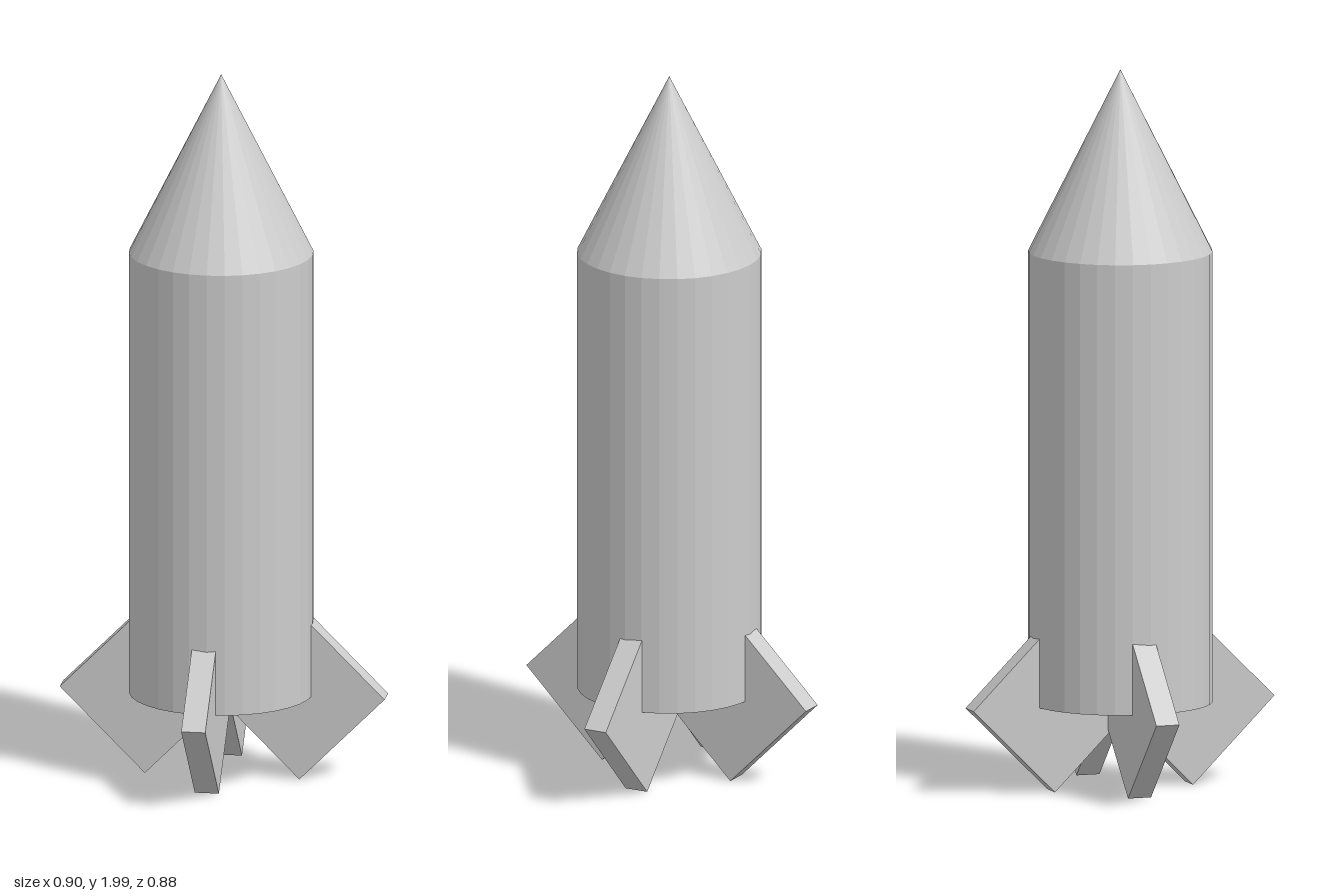
import * as THREE from 'three';

export function createModel() {
  const rocket = new THREE.Group();
  rocket.name = 'rocket';
  const grey = new THREE.MeshStandardMaterial({ color: 0xcccccc });
  grey.name = 'lightGrey';

  const RADIUS = 0.254, BASE = 0.242, SHOULDER = 1.495, TIP = 2;
  const AXIS_X = -0.005, AXIS_Z = 0.004;

  function add(name, geometry, x, y, z) {
    // unshared vertices give crisp facets
    const flat = geometry.toNonIndexed();
    flat.computeVertexNormals();
    const mesh = new THREE.Mesh(flat, grey);
    mesh.name = name;
    mesh.position.set(x, y, z);
    rocket.add(mesh);
    return mesh;
  }

  // Hull and nose
  add('body', new THREE.CylinderGeometry(RADIUS, RADIUS, SHOULDER - BASE, 32),
    AXIS_X, (BASE + SHOULDER) / 2, AXIS_Z);
  add('noseCone', new THREE.ConeGeometry(RADIUS, TIP - SHOULDER, 32),
    AXIS_X, (SHOULDER + TIP) / 2, AXIS_Z);

  // Four square slabs standing on a corner, sunk into the hull
  const SIDE = 0.335, THICK = 0.067, OFFSET = -0.0135;
  for (const s of [1, -1]) {
    const sideFin = add(s > 0 ? 'leftFin' : 'rightFin',
      new THREE.BoxGeometry(SIDE, SIDE, THICK), s * 0.215, BASE, OFFSET);
    sideFin.rotation.z = Math.PI / 4;
    const endFin = add(s > 0 ? 'frontFin' : 'backFin',
      new THREE.BoxGeometry(THICK, SIDE, SIDE), OFFSET, BASE, s * 0.201);
    endFin.rotation.x = Math.PI / 4;
  }
  return rocket;
}
